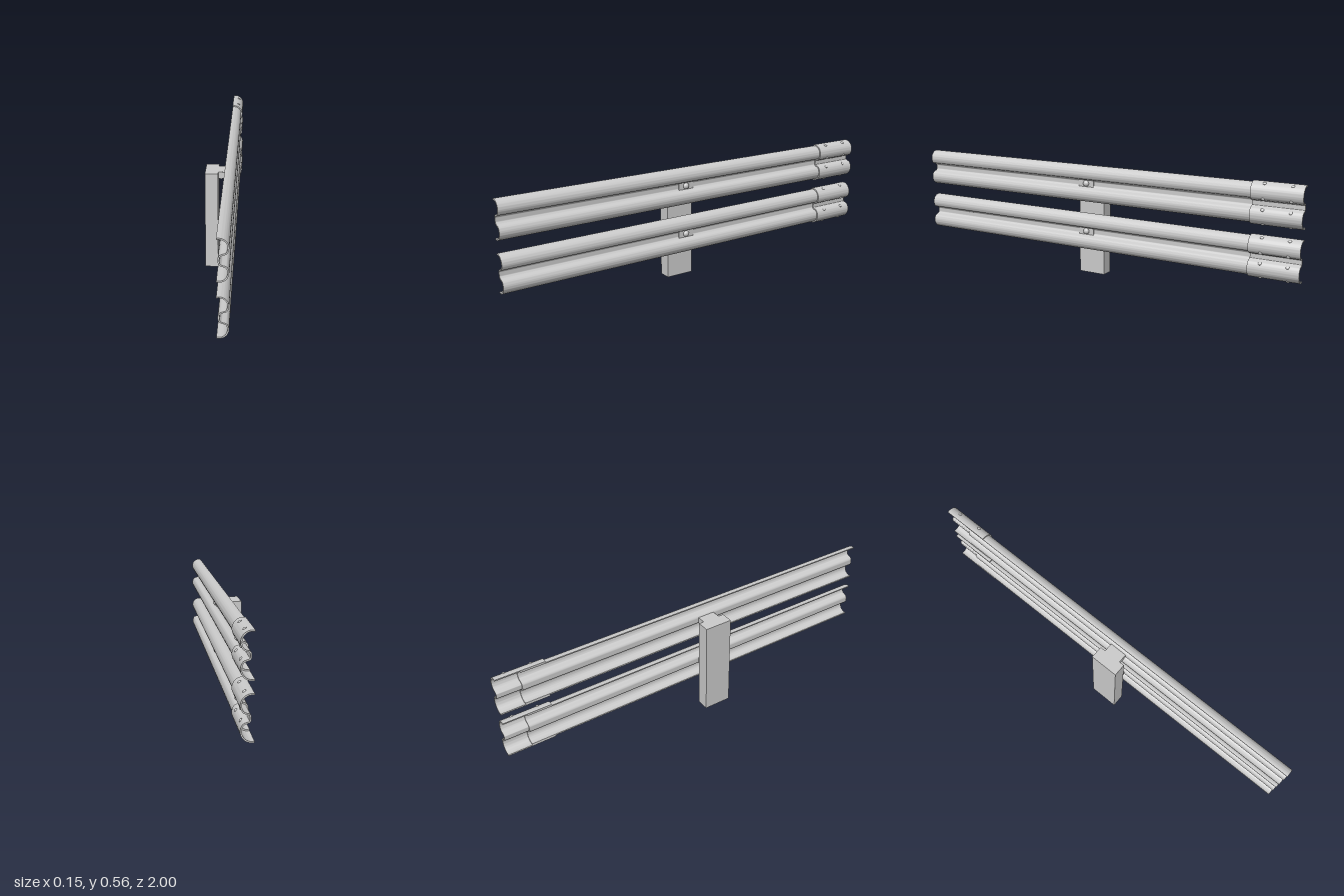
import * as THREE from 'three';
import { toCreasedNormals } from 'three/addons/utils/BufferGeometryUtils.js';

const RAIL_HEIGHTS = [0.225, 0.461];
const POST_Z = 0.061;
const SHEET = 0.006;
const UP = new THREE.Vector3(0, 1, 0);

const material = new THREE.MeshStandardMaterial({ color: 0xcccccc, side: THREE.DoubleSide });

function addMesh(parent, name, geometry, x = 0, y = 0, z = 0) {
  const mesh = new THREE.Mesh(geometry, material);
  mesh.name = name;
  mesh.position.set(x, y, z);
  parent.add(mesh);
  return mesh;
}

// Centre line of the W-shaped section, from top edge to bottom edge
function beamCurve() {
  const half = [];
  for (let i = 0; i <= 9; i++) {
    const a = THREE.MathUtils.degToRad(103 - (143 * i) / 9);
    half.push([0.03 + 0.039 * Math.cos(a), 0.05 + 0.039 * Math.sin(a)]);
  }
  half.push([0.051, 0.0212], [0.042, 0.0185], [0.0352, 0.0135], [0.033, 0.006]);
  const all = [...half, ...half.map(([x, y]) => [x, -y]).reverse()];
  return new THREE.CatmullRomCurve3(all.map(([x, y]) => new THREE.Vector3(x, y, 0)), false, 'centripetal');
}

// Sheet lying between two offsets of the W curve, swept from z0 to z1
function sheetGeometry(curve, inner, outer, z0, z1) {
  const steps = 72;
  const offsetLine = (d) => Array.from({ length: steps + 1 }, (_, i) => {
    const p = curve.getPointAt(i / steps);
    const t = curve.getTangentAt(i / steps);
    return new THREE.Vector2(p.x - t.y * d, p.y + t.x * d);
  });
  const shape = new THREE.Shape([...offsetLine(outer), ...offsetLine(inner).reverse()]);
  const geometry = new THREE.ExtrudeGeometry(shape, { depth: z1 - z0, bevelEnabled: false });
  geometry.translate(0, 0, z0);
  return toCreasedNormals(geometry, 0.7);
}

// Domed bolt head whose axis points along (nx, ny)
function addBolt(parent, name, radius, height, x, y, z, nx, ny) {
  const dome = new THREE.SphereGeometry(radius, 16, 6, 0, Math.PI * 2, 0, Math.PI / 2);
  dome.scale(1, height / radius, 1);
  const bolt = addMesh(parent, name, dome, x, y, z);
  bolt.quaternion.setFromUnitVectors(UP, new THREE.Vector3(nx, ny, 0).normalize());
}

export function createModel() {
  const model = new THREE.Group();
  model.name = 'guardRail';

  // Hollow post, closed on top and open underneath
  const postGeometry = new THREE.BoxGeometry(0.061, 0.475, 0.138);
  const index = Array.from(postGeometry.index.array);
  index.splice(18, 6);
  postGeometry.setIndex(index);
  postGeometry.clearGroups();
  addMesh(model, 'post', postGeometry, -0.0465, 0.2375, POST_Z);

  const curve = beamCurve();
  const railGeometry = sheetGeometry(curve, -SHEET, 0, -0.885, 1);
  const sleeveGeometry = sheetGeometry(curve, 0, SHEET, -1, -0.77);

  RAIL_HEIGHTS.forEach((y, i) => {
    const beam = new THREE.Group();
    beam.name = i ? 'upperBeam' : 'lowerBeam';
    beam.position.y = y;
    model.add(beam);

    // Spacer block between post and rail
    addMesh(beam, 'spacerBlock', new THREE.BoxGeometry(0.018, 0.033, 0.086), -0.007, -0.0025, POST_Z);
    addMesh(beam, 'spacerFront', new THREE.BoxGeometry(0.026, 0.03, 0.086), 0.015, -0.002, POST_Z);

    // Long rail and the splice sleeve reaching past its end
    addMesh(beam, 'rail', railGeometry);
    addMesh(beam, 'spliceSleeve', sleeveGeometry);

    // Washer plate and large bolt in the valley
    addMesh(beam, 'washerPlate', new THREE.BoxGeometry(0.005, 0.034, 0.08), 0.0355, 0, POST_Z);
    addBolt(beam, 'postBolt', 0.0155, 0.014, 0.037, 0, POST_Z, 1, 0);

    // Small bolts on the sleeve, mirrored above and below the valley
    for (const z of [-0.947, -0.825]) {
      for (const side of [1, -1]) {
        for (const degrees of [60, -37]) {
          const a = THREE.MathUtils.degToRad(degrees);
          const nx = Math.cos(a), ny = Math.sin(a);
          addBolt(beam, 'sleeveBolt', 0.008, 0.005,
            0.03 + 0.0445 * nx, side * (0.05 + 0.0445 * ny), z, nx, side * ny);
        }
      }
    }
  });
  return model;
}
